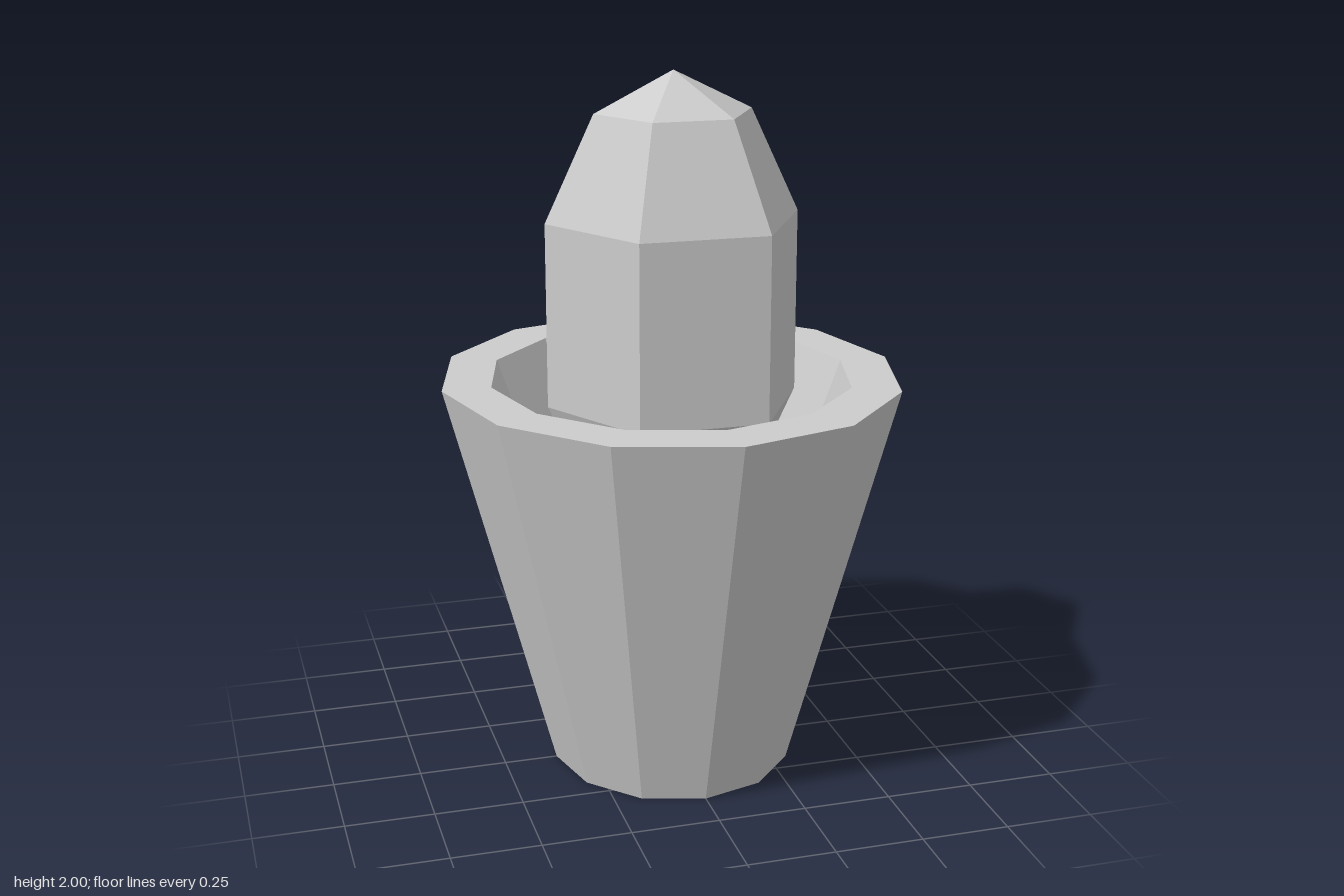
import * as THREE from 'three';

const material = new THREE.MeshStandardMaterial({ color: 0xcccccc, flatShading: true });

// Turns a [radius, height] profile, listed from bottom to top on the outside
function turned(name, profile, sides) {
  const points = profile.map(([r, y]) => new THREE.Vector2(r, y));
  const mesh = new THREE.Mesh(new THREE.LatheGeometry(points, sides), material);
  mesh.name = name;
  return mesh;
}

export function createModel() {
  const model = new THREE.Group();
  model.name = 'pottedCactus';

  // Twelve-sided pot with a thick rim, slightly narrower across x
  const pot = turned('pot', [[0, 0], [0.37, 0], [0.692, 1.145], [0.545, 1.145], [0.455, 0.92]], 12);
  const soil = turned('soil', [[0.455, 0.92], [0, 0.92]], 12);
  for (const part of [pot, soil]) part.scale.x = 0.938;

  // Six-sided capsule cactus, its lower end sunk into the soil
  const cactus = turned('cactus', [
    [0, 0.69], [0.222, 0.8], [0.36, 1.085], [0.36, 1.6], [0.222, 1.89], [0, 2],
  ], 6);
  cactus.rotation.y = Math.PI / 2;
  cactus.position.z = 0.033;

  model.add(pot, soil, cactus);
  return model;
}
